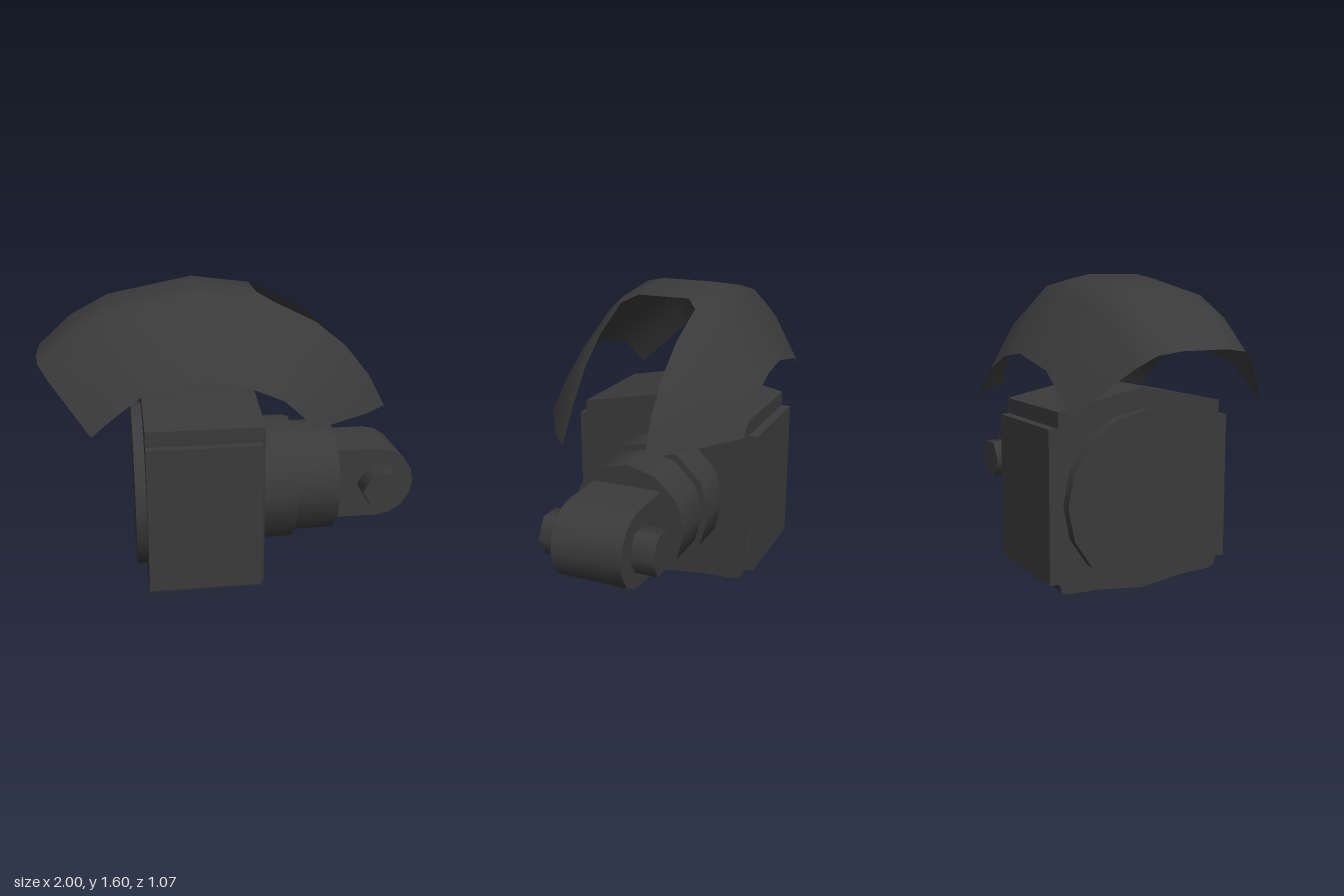
import * as THREE from 'three';
import { toCreasedNormals } from 'three/addons/utils/BufferGeometryUtils.js';

const darkMetal = new THREE.MeshStandardMaterial({ color: 0x3a3a3a });
const shell = new THREE.MeshStandardMaterial({ color: 0x3a3a3a, side: THREE.DoubleSide });
const AXIS_Y = 0.49;

export function createModel() {
  const group = new THREE.Group();
  const add = (name, geometry, x, y, z, material = darkMetal) => {
    const mesh = new THREE.Mesh(geometry, material);
    mesh.name = name;
    mesh.position.set(x, y, z);
    group.add(mesh);
    return mesh;
  };
  // Cylinder lying along x between two stations
  const drum = (name, x0, x1, radius, sides) =>
    add(name, new THREE.CylinderGeometry(radius, radius, x1 - x0, sides).rotateZ(Math.PI / 2),
      (x0 + x1) / 2, AXIS_Y, 0);

  // Housing: symmetric profile in z and y, swept along x
  const half = [[0, 0.005], [0.24, 0.035], [0.42, 0.042], [0.455, 0.055], [0.47, 0.1],
    [0.47, 0.95], [0.22, 1.0], [0, 1.045]];
  const mirrored = half.slice(1, -1).reverse().map(([z, y]) => [-z, y]);
  const profile = new THREE.Shape([...half, ...mirrored].map(([z, y]) => new THREE.Vector2(z, y)));
  const housing = new THREE.ExtrudeGeometry(profile, { depth: 0.6, bevelEnabled: false });
  add('housing', toCreasedNormals(housing.rotateY(Math.PI / 2), 0.6), -0.48, 0, 0);

  // Round back cover and stepped barrel
  drum('backCover', -0.535, -0.48, 0.445, 16);
  drum('barrelBase', 0.12, 0.325, 0.345, 12);
  drum('barrelTip', 0.325, 0.56, 0.31, 12);

  // Nose block with a half-round end
  const nose = new THREE.Shape();
  nose.moveTo(0.5, 0.293);
  nose.lineTo(0.8, 0.293);
  for (let i = 1; i <= 8; i++) {
    const a = -Math.PI / 2 + (i * Math.PI) / 8;
    nose.lineTo(0.803 + 0.197 * Math.cos(a), AXIS_Y + 0.197 * Math.sin(a));
  }
  nose.lineTo(0.5, 0.687);
  nose.closePath();
  const noseGeometry = new THREE.ExtrudeGeometry(nose, { depth: 0.37, bevelEnabled: false });
  add('nose', toCreasedNormals(noseGeometry, 0.6), 0, 0, -0.185);

  // Mirrored side plates and hexagonal pivot pins
  for (const [side, s] of [['left', 1], ['right', -1]]) {
    add(side + 'SidePlate', new THREE.BoxGeometry(0.58, 0.77, 0.05), -0.19, 0.485, s * 0.495);
    const pin = new THREE.CylinderGeometry(0.115, 0.115, 0.125, 6);
    pin.rotateY(Math.PI / 6).rotateX(Math.PI / 2);
    add(side + 'PivotPin', pin, 0.8, AXIS_Y, s * 0.2425);
  }

  add('hood', hoodGeometry(), 0, 0, 0, shell);
  return group;
}

// Thin arched hood, lofted from the ridge to the lower rim, with a slot in its front
function hoodGeometry() {
  // Each station: ridge x, y; rim x, y; half-width at the ridge
  const stations = [
    [-1.0, 1.26, -0.735, 0.96, 0.12], [-0.83, 1.41, -0.62, 1.055, 0.14],
    [-0.63, 1.515, -0.49, 1.15, 0.14], [-0.19, 1.6, -0.19, 1.21, 0.14],
    [0.12, 1.56, 0.0, 1.185, 0.14], [0.19, 1.525, 0.06, 1.16, 0.205],
    [0.42, 1.41, 0.2, 1.1, 0.205], [0.58, 1.28, 0.255, 1.05, 0.205],
    [0.71, 1.12, 0.31, 1.0, 0.205], [0.8, 0.95, 0.36, 0.95, 0.215]];
  // Fraction from ridge to rim and the z of each line
  const lines = [[0, 0], [0.055, 0.237], [0.26, 0.325], [1, 0.535]];
  const slotStart = 4;
  const at = (i, j, s) => {
    const [x0, y0, x1, y1, width] = stations[i];
    const [f, z] = lines[j];
    return [x0 + (x1 - x0) * f, y0 + (y1 - y0) * f, s * (j ? z : width)];
  };
  const positions = [];
  const quad = (a, b, c, d) => positions.push(...a, ...b, ...c, ...a, ...c, ...d);
  for (let i = 0; i < stations.length - 1; i++) {
    if (i < slotStart) quad(at(i, 0, -1), at(i, 0, 1), at(i + 1, 0, 1), at(i + 1, 0, -1));
    for (let j = 0; j < lines.length - 1; j++) {
      quad(at(i, j, 1), at(i, j + 1, 1), at(i + 1, j + 1, 1), at(i + 1, j, 1));
      quad(at(i, j, -1), at(i + 1, j, -1), at(i + 1, j + 1, -1), at(i, j + 1, -1));
    }
  }
  const geometry = new THREE.BufferGeometry();
  geometry.setAttribute('position', new THREE.Float32BufferAttribute(positions, 3));
  return toCreasedNormals(geometry, 1.2);
}
